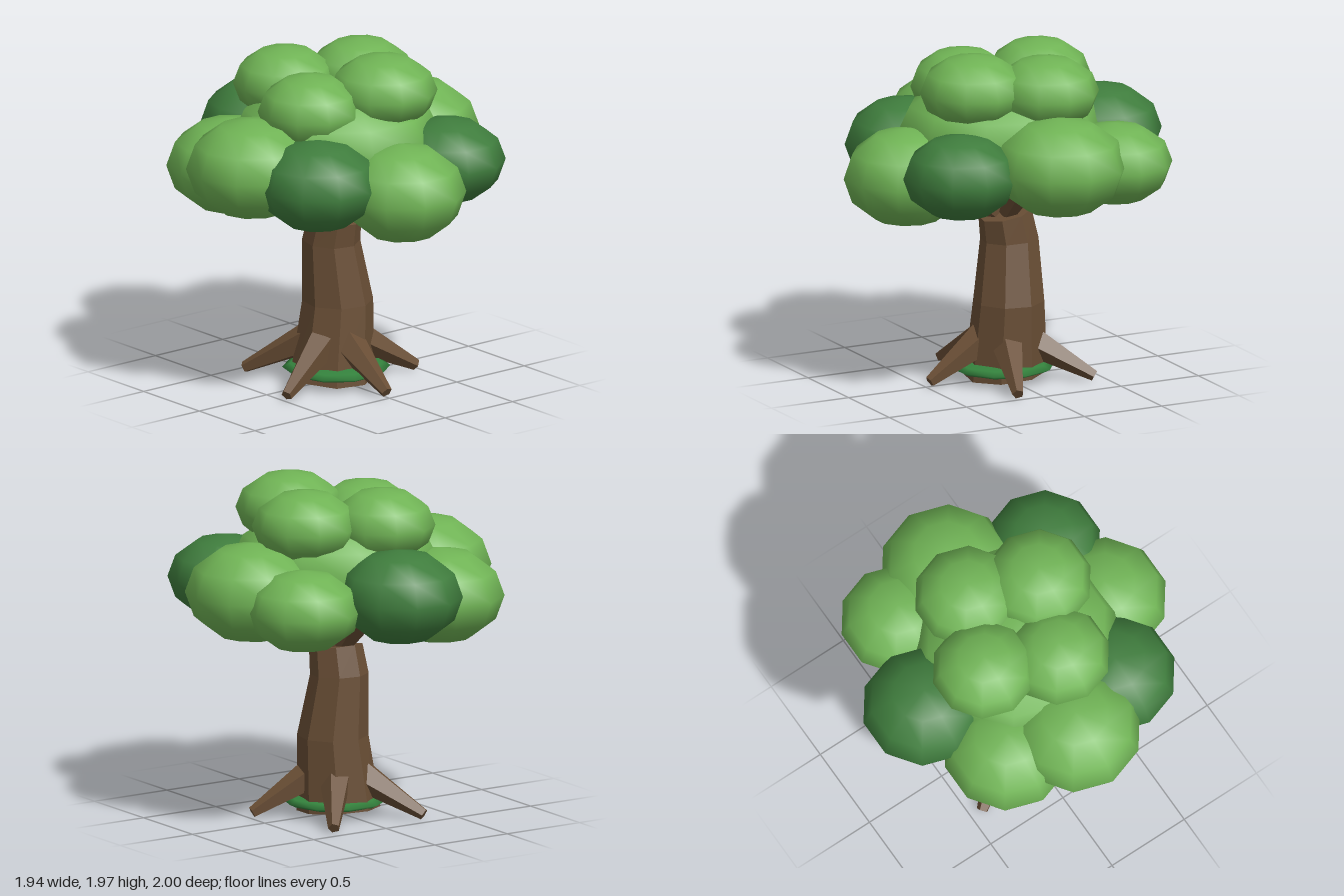
import * as THREE from 'three';

const makeMaterial = (name, color, flatShading = false) => {
  const m = new THREE.MeshStandardMaterial({ color, flatShading });
  m.name = name;
  return m;
};

export function createModel() {
  const tree = new THREE.Group();
  tree.name = 'tree';
  const bark = makeMaterial('bark brown', 0x694e35, true);
  const leaf = makeMaterial('leaf green', 0x70b455);
  const darkLeaf = makeMaterial('dark leaf green', 0x3f7d3d);
  const moss = makeMaterial('moss green', 0x34823d);

  const add = (name, geometry, material) => {
    const mesh = new THREE.Mesh(geometry, material);
    mesh.name = name;
    tree.add(mesh);
    return mesh;
  };

  // Ten-sided ball with a corner on the z axis, squashed in height
  const ball = new THREE.SphereGeometry(1, 10, 6).rotateY(Math.PI / 2);
  const blob = (name, material, x, y, z, r, ry) => {
    const mesh = add(name, ball, material);
    mesh.position.set(x, y, z);
    mesh.scale.set(r, ry, r);
  };

  // Five-sided tapered limb between two points
  const limb = (name, a, b, ra, rb) => {
    const dir = b.clone().sub(a);
    const mesh = add(name, new THREE.CylinderGeometry(rb, ra, dir.length(), 5), bark);
    mesh.position.copy(a).add(b).multiplyScalar(0.5);
    mesh.quaternion.setFromUnitVectors(new THREE.Vector3(0, 1, 0), dir.normalize());
  };
  const polar = (angle, r, y) => new THREE.Vector3(Math.cos(angle) * r, y, Math.sin(angle) * r);

  // Bent trunk: each ring is [x, y, z, radius, tilt]
  const rings = [
    [-0.015, 0.032, 0, 0.24, -0.09],
    [-0.015, 0.47, -0.04, 0.205, 0],
    [-0.035, 0.83, -0.008, 0.168, -0.05],
    [-0.005, 0.985, -0.012, 0.153, -0.2],
  ];
  const trunk = new THREE.CylinderGeometry(1, 1, 3, 8, 3);
  trunk.rotateY(0.2);
  const p = trunk.attributes.position;
  for (let i = 0; i < p.count; i++) {
    const [x, y, z, r, tilt] = rings[Math.round(p.getY(i) + 1.5)];
    const dx = p.getX(i) * r;
    p.setXYZ(i, x + dx, y + dx * tilt, z + p.getZ(i) * r);
  }
  trunk.computeVertexNormals();
  add('trunk', trunk, bark);

  // Five spreading roots
  [0.475, 0.505, 0.53, 0.53, 0.505].forEach((reach, i) => {
    const a = (i * Math.PI * 2) / 5;
    limb('root', polar(a, 0.13, 0.25), polar(a, reach, 0.035), 0.1, 0.034);
  });

  // Four stout branches flaring into the crown
  for (let i = 0; i < 4; i++) {
    const a = (i * Math.PI) / 2;
    limb('branch', polar(a, 0.05, 0.99), polar(a, 0.24, 1.2), 0.05, 0.085);
  }

  // Moss cushion round the foot
  blob('moss', moss, 0.015, 0.086, -0.005, 0.31, 0.043);

  // Crown: core, outer ring and top cluster
  blob('crownCore', leaf, 0.02, 1.455, 0, 0.61, 0.355);
  [
    [darkLeaf, -0.63, 1.395, 0.01, 0.36, 0.275],
    [leaf, -0.365, 1.295, 0.465, 0.37, 0.278],
    [leaf, 0.01, 1.39, 0.61, 0.385, 0.288],
    [darkLeaf, 0.395, 1.345, 0.445, 0.357, 0.264],
    [leaf, 0.62, 1.27, 0.005, 0.368, 0.285],
    [darkLeaf, 0.5, 1.353, -0.43, 0.335, 0.247],
    [leaf, -0.045, 1.39, -0.615, 0.388, 0.288],
    [leaf, -0.445, 1.345, -0.53, 0.333, 0.237],
  ].forEach(([m, ...v]) => blob('outerFoliage', m, ...v));
  [
    [-0.12, 1.75, -0.3, 0.308, 0.212],
    [0.268, 1.768, -0.145, 0.312, 0.213],
    [-0.29, 1.74, 0.12, 0.302, 0.213],
    [0.12, 1.692, 0.275, 0.302, 0.215],
  ].forEach((v) => blob('topFoliage', leaf, ...v));

  return tree;
}
